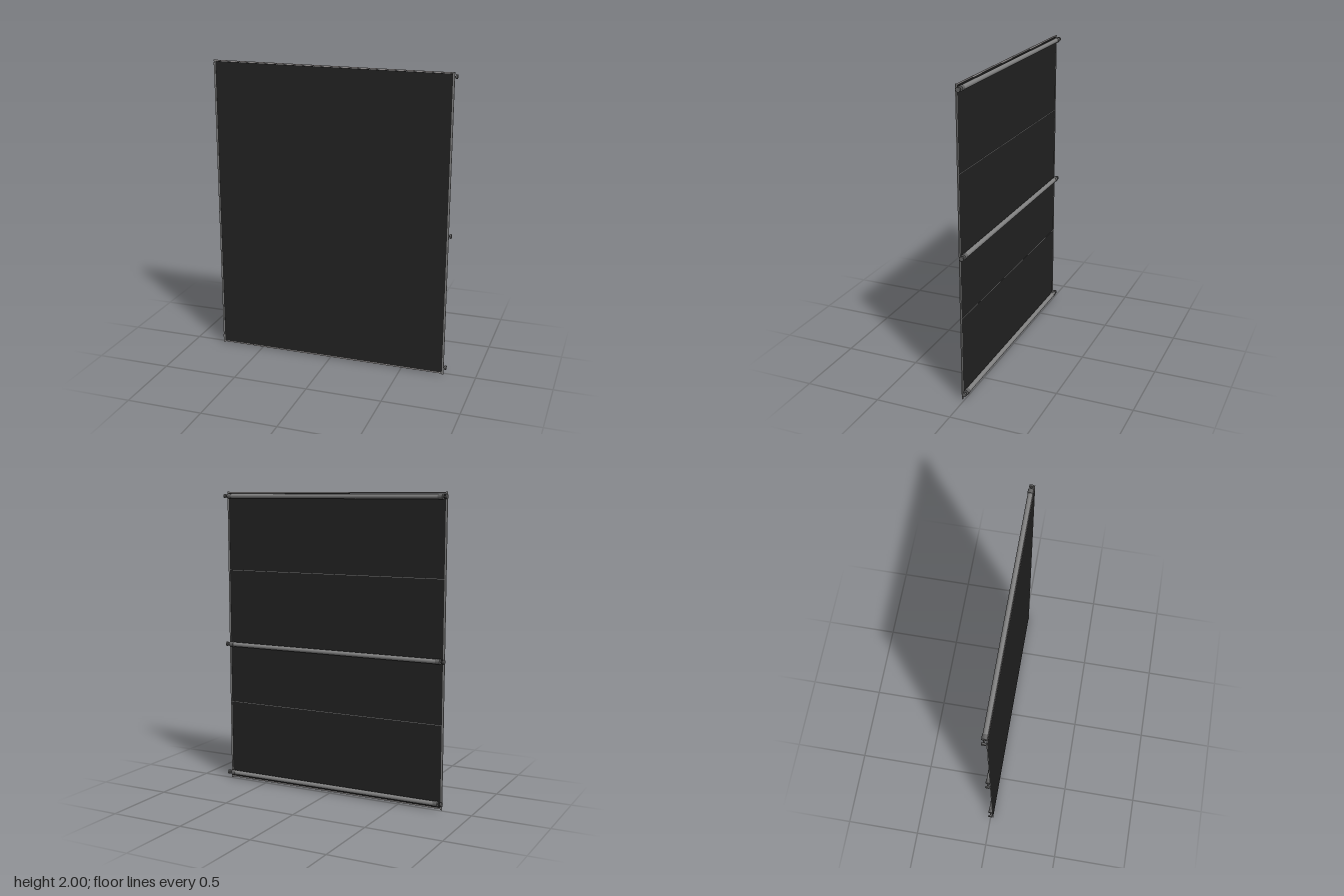
import * as THREE from 'three';

const material = (name, color) => {
  const m = new THREE.MeshStandardMaterial({ color });
  m.name = name;
  return m;
};

export function createModel() {
  const black = material('black fabric', 0x222222);
  const grey = material('grey metal', 0x808080);
  const darkGrey = material('dark grey fitting', 0x626262);
  const pale = material('pale trim', 0xa09c9c);
  const model = new THREE.Group();
  model.name = 'rollerPanel';

  const box = (name, mat, w, h, d, x, y, z, parent = model) => {
    const mesh = new THREE.Mesh(new THREE.BoxGeometry(w, h, d), mat);
    mesh.name = name;
    mesh.position.set(x, y, z);
    parent.add(mesh);
  };
  // Cylinder lying along x between x0 and x1
  const rod = (name, mat, r, x0, x1, parent, sides = 32) => {
    const geo = new THREE.CylinderGeometry(r, r, Math.abs(x1 - x0), sides).rotateZ(Math.PI / 2);
    const mesh = new THREE.Mesh(geo, mat);
    mesh.name = name;
    mesh.position.x = (x0 + x1) / 2;
    parent.add(mesh);
  };

  // Flat sheet with narrow edge trims
  const cx = -0.004;
  box('sheet', black, 1.566, 1.978, 0.004, cx, 1.001, 0.0165);
  for (const y of [0.009, 1.995]) box('edgeTrim', pale, 1.566, 0.008, 0.004, cx, y, 0.0165);
  for (const s of [-1, 1]) box('sideRail', grey, 0.011, 2, 0.007, cx + s * 0.7875, 1, 0.0165);

  // Thin seams across the back
  for (const y of [0.55, 1.47]) box('backSeam', grey, 1.566, 0.003, 0.002, cx, y, 0.0138);

  // Three cross tubes with collars, pins and end knobs
  for (const y of [0.042, 0.958, 1.971]) {
    const bar = new THREE.Group();
    bar.name = 'crossBar';
    bar.position.set(0, y, -0.002);
    rod('tube', grey, 0.0155, -0.75, 0.75, bar);
    for (const s of [-1, 1]) {
      rod('collar', darkGrey, 0.0178, s * 0.745, s * 0.774, bar);
      rod('pin', darkGrey, 0.005, s * 0.774, s * 0.794, bar, 16);
      rod('knob', darkGrey, 0.0145, s * 0.792, s * 0.803, bar, 24);
    }
    model.add(bar);
  }
  return model;
}
